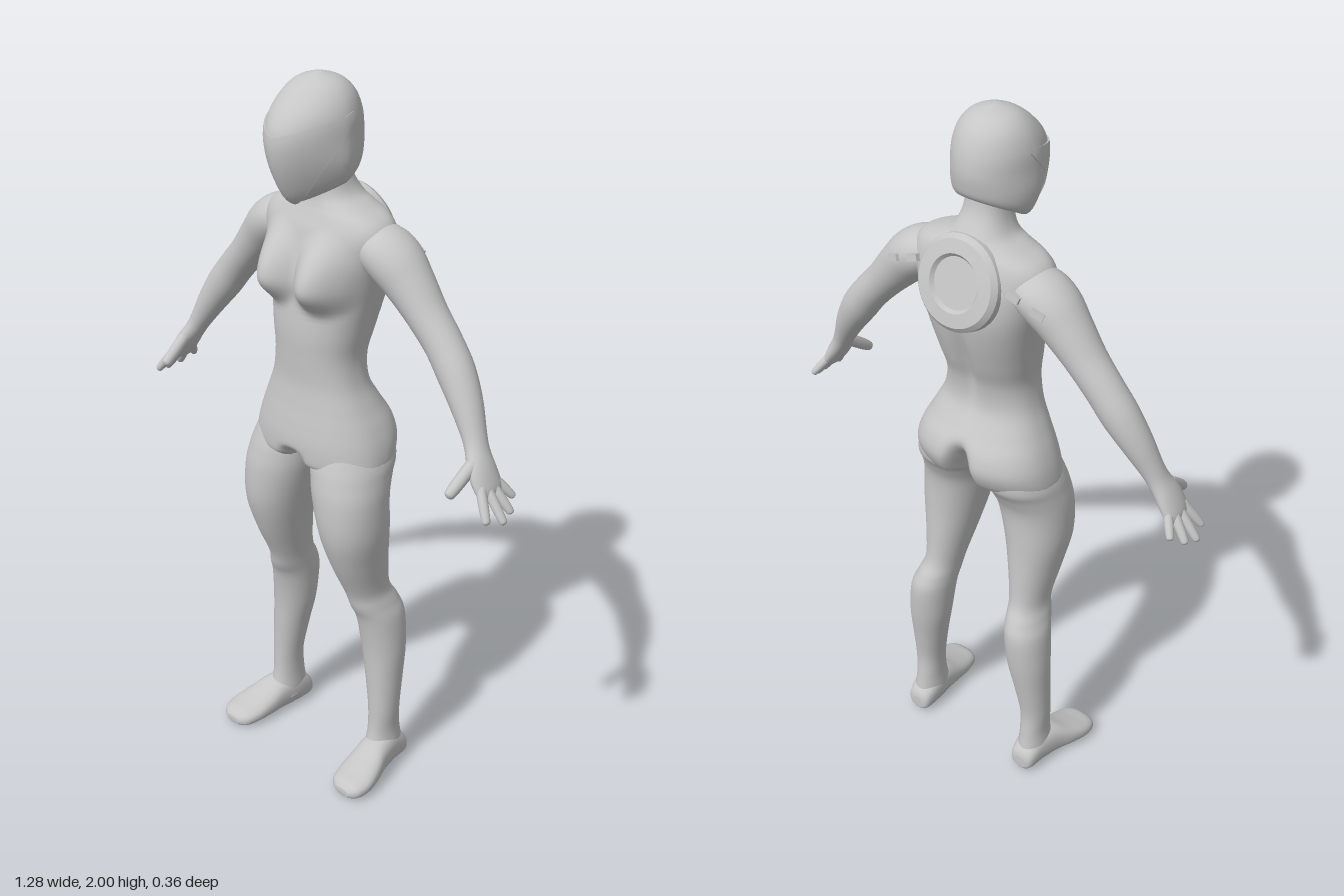
import * as THREE from 'three';
import { toCreasedNormals } from 'three/addons/utils/BufferGeometryUtils.js';

const suit = new THREE.MeshStandardMaterial({ color: 0xc6c6c6 });
suit.name = 'suit grey';

// Catmull-Rom value of a table of rows at fractional index t
function rowAt(rows, t) {
  const last = rows.length - 1;
  const i = Math.min(Math.floor(t), last - 1), f = t - i;
  const [a, b, c, d] = [i - 1, i, i + 1, i + 2].map(k => rows[Math.max(0, Math.min(last, k))]);
  return b.map((v, k) => v + 0.5 * f * (c[k] - a[k]
    + f * (2 * a[k] - 5 * v + 4 * c[k] - d[k] + f * (3 * (v - c[k]) + d[k] - a[k]))));
}

function refine(rows, steps) {
  const n = (rows.length - 1) * steps;
  return Array.from({ length: n + 1 }, (_, i) => rowAt(rows, i / steps));
}

// Skin over rings that run counter-clockwise about the direction of travel
function skin(rings, closed = true) {
  const n = rings[0].length, pos = [], index = [];
  rings.forEach(r => r.forEach(p => pos.push(p.x, p.y, p.z)));
  const across = closed ? n : n - 1;
  for (let i = 0; i < rings.length - 1; i++) {
    for (let j = 0; j < across; j++) {
      const a = i * n + j, b = i * n + (j + 1) % n;
      index.push(a, b, b + n, a, b + n, a + n);
    }
  }
  if (closed) {
    [0, rings.length - 1].forEach((r, end) => {
      const c = rings[r].reduce((s, p) => s.add(p), new THREE.Vector3()).divideScalar(n);
      const ci = pos.length / 3;
      pos.push(c.x, c.y, c.z);
      for (let j = 0; j < n; j++) {
        const a = r * n + j, b = r * n + (j + 1) % n;
        if (end) index.push(ci, a, b); else index.push(ci, b, a);
      }
    });
  }
  const g = new THREE.BufferGeometry();
  g.setAttribute('position', new THREE.Float32BufferAttribute(pos, 3));
  g.setIndex(index);
  g.computeVertexNormals();
  return g;
}

const power = (v, e) => Math.sign(v) * Math.pow(Math.abs(v), 2 / e);
const circle = (n, fn) => Array.from({ length: n }, (_, j) => fn(j / n * Math.PI * 2));

// Stacked level sections, bottom to top: y, centre x, half width, front z, back z
function stack(rows, steps, n, e, shape = p => p) {
  return skin(refine(rows, steps).map(([y, cx, w, zf, zb]) => circle(n, a => shape(new THREE.Vector3(
    cx + w * power(Math.sin(a), e), y, (zf + zb) / 2 + (zf - zb) / 2 * power(Math.cos(a), e))))));
}

// Limb along a path: x, y, z, radius in the plane of the body, radius front to back
function limb(rows, steps, n) {
  const r = refine(rows, steps), pt = k => new THREE.Vector3(...r[k].slice(0, 3));
  return skin(r.map((row, k) => {
    const T = pt(Math.min(k + 1, r.length - 1)).sub(pt(Math.max(k - 1, 0))).normalize();
    const N = new THREE.Vector3(0, 0, 1).cross(T).normalize();
    const B = T.clone().cross(N);
    return circle(n, a => pt(k).addScaledVector(N, row[3] * Math.cos(a)).addScaledVector(B, row[4] * Math.sin(a)));
  }));
}

// Relief of chest, spine and the cleft between the hips
function torsoShape(p) {
  const front = p.z > 0;
  if (front) {
    const dy = (p.y - 1.49) / (p.y > 1.49 ? 0.15 : 0.09), dx = (Math.abs(p.x) - 0.078) / 0.096;
    const d = dx * dx + dy * dy;
    if (d < 1) p.z += 0.064 * (1 - d) ** 2 * Math.min(1, p.z / 0.05);
  } else {
    p.z += 0.016 * Math.exp(-((p.x / 0.022) ** 2) - (((p.y - 1.35) / 0.13) ** 2));
  }
  const open = 1 - THREE.MathUtils.smoothstep(p.y, 0.965, front ? 1.03 : 1.14);
  p.z *= 1 - open * Math.exp(-((p.x / 0.028) ** 2));
  return p;
}

const torsoRows = [
  [0.965, 0, 0.17, 0.085, -0.06], [0.985, 0, 0.203, 0.116, -0.105], [1, 0, 0.212, 0.126, -0.135],
  [1.05, 0, 0.205, 0.127, -0.158], [1.1, 0, 0.188, 0.121, -0.15], [1.15, 0, 0.164, 0.113, -0.12],
  [1.21, 0, 0.138, 0.106, -0.09], [1.28, 0, 0.127, 0.108, -0.092], [1.35, 0, 0.137, 0.11, -0.115],
  [1.43, 0, 0.153, 0.104, -0.138], [1.5, 0, 0.17, 0.098, -0.15], [1.57, 0, 0.19, 0.09, -0.145],
  [1.62, 0, 0.197, 0.078, -0.133], [1.655, 0, 0.175, 0.063, -0.122], [1.68, 0, 0.118, 0.053, -0.112],
  [1.705, 0, 0.077, 0.048, -0.098], [1.76, 0, 0.057, 0.045, -0.07], [1.85, 0, 0.055, 0.05, -0.06]];

const legRows = [
  [0.04, 0.2, 0.045, 0.03, -0.113], [0.08, 0.199, 0.042, 0.014, -0.107], [0.13, 0.198, 0.038, 0.003, -0.1],
  [0.2, 0.198, 0.041, 0, -0.096], [0.3, 0.19, 0.05, 0, -0.11], [0.4, 0.18, 0.06, 0.003, -0.125],
  [0.5, 0.17, 0.06, 0.018, -0.13], [0.55, 0.16, 0.054, 0.038, -0.115], [0.6, 0.151, 0.051, 0.053, -0.09],
  [0.7, 0.147, 0.068, 0.098, -0.08], [0.8, 0.143, 0.088, 0.128, -0.075], [0.9, 0.13, 0.1, 0.132, -0.078],
  [0.96, 0.118, 0.104, 0.124, -0.1], [1, 0.11, 0.104, 0.114, -0.122], [1.05, 0.105, 0.088, 0.095, -0.12],
  [1.1, 0.1, 0.065, 0.065, -0.09]];

// Heel to toe: z, centre x, half width, top y, bottom y
const footRows = [
  [-0.122, 0.197, 0.02, 0.05, 0.012], [-0.11, 0.198, 0.037, 0.075, 0.003], [-0.06, 0.2, 0.045, 0.11, 0],
  [0, 0.209, 0.05, 0.104, 0], [0.05, 0.219, 0.058, 0.08, 0], [0.1, 0.227, 0.061, 0.06, 0],
  [0.14, 0.23, 0.05, 0.047, 0], [0.158, 0.231, 0.024, 0.03, 0.008]];

const armRows = [
  [0.09, 1.6, -0.036, 0.04, 0.055], [0.165, 1.587, -0.036, 0.062, 0.077], [0.215, 1.56, -0.037, 0.067, 0.077],
  [0.265, 1.511, -0.039, 0.06, 0.065], [0.32, 1.45, -0.04, 0.051, 0.055], [0.375, 1.39, -0.04, 0.049, 0.05],
  [0.42, 1.333, -0.036, 0.049, 0.049], [0.465, 1.268, -0.026, 0.041, 0.043], [0.505, 1.2, -0.013, 0.03, 0.034],
  [0.525, 1.165, -0.005, 0.026, 0.035], [0.55, 1.125, 0.004, 0.024, 0.045], [0.575, 1.083, 0.005, 0.018, 0.045],
  [0.585, 1.066, 0.005, 0.007, 0.032]];

// Root, tip and thickness of each digit
const digits = {
  thumb: [[0.537, 1.15, 0.02], [0.53, 1.083, 0.108], 0.017],
  indexFinger: [[0.568, 1.1, 0.032], [0.62, 1.025, 0.064], 0.013],
  middleFinger: [[0.571, 1.095, 0.014], [0.637, 1.014, 0.016], 0.013],
  ringFinger: [[0.571, 1.095, -0.006], [0.626, 1.024, -0.024], 0.013],
  littleFinger: [[0.566, 1.1, -0.024], [0.602, 1.047, -0.06], 0.012]};

// Helmet sections: front y, back y, half width, front z, back z, front taper
const headRows = [
  [1.7, 1.8, 0.05, 0.085, -0.05, 0.5], [1.695, 1.79, 0.085, 0.1, -0.075, 0.5], [1.72, 1.8, 0.104, 0.128, -0.088, 0.45],
  [1.79, 1.82, 0.114, 0.16, -0.095, 0.35], [1.86, 1.86, 0.112, 0.17, -0.1, 0.2], [1.91, 1.91, 0.107, 0.15, -0.093, 0.1],
  [1.955, 1.955, 0.088, 0.108, -0.073, 0.05], [1.985, 1.985, 0.056, 0.066, -0.04, 0], [2, 2, 0.008, 0.025, 0.005, 0]];

function headPoint(a, t) {
  const [yf, yb, w, zf, zb, taper] = rowAt(headRows, t), c = Math.cos(a);
  return new THREE.Vector3(w * Math.sin(a) * (1 - taper * Math.max(0, c)),
    yb + (yf - yb) * (c + 1) / 2, (zf + zb) / 2 + (zf - zb) / 2 * c);
}

// Raised face plate, with a V-shaped brow sweeping back to points at the temples
function visorGeometry() {
  const centre = new THREE.Vector3(0, 1.86, 0.03), rings = [];
  for (let i = -1; i <= 13; i++) {
    const f = Math.max(0, Math.min(12, i)) / 12, scale = i < 0 || i > 12 ? 0.97 : 1.035;
    rings.push(Array.from({ length: 41 }, (_, j) => {
      const s = j / 20 - 1, low = 1 + 3.9 * Math.abs(s) ** 1.6, high = 4.1 + Math.abs(s) * 1.1;
      return headPoint(s * 1.75, low + (high - low) * f).sub(centre).multiplyScalar(scale).add(centre);
    }));
  }
  return skin(rings, false);
}

export function createModel() {
  const model = new THREE.Group(), figure = new THREE.Group();
  model.name = 'model';
  figure.name = 'figure';
  figure.rotation.y = -0.09; // slight turn of the whole stance
  model.add(figure);
  const add = (name, geometry) => {
    const m = new THREE.Mesh(geometry, suit);
    m.name = name;
    figure.add(m);
    return m;
  };

  add('torso', stack(torsoRows, 6, 120, 2.3, torsoShape));
  add('helmet', skin(Array.from({ length: 49 }, (_, i) => circle(48, a => headPoint(a, i / 6)))));
  add('visor', toCreasedNormals(visorGeometry(), 0.7));

  // Back disc: raised ring round a recessed plate
  const profile = [[0.124, -0.03], [0.122, 0], [0.11, 0.013], [0.074, 0.016], [0.066, 0.006], [0, 0.006]];
  const disc = add('backDisc', toCreasedNormals(
    new THREE.LatheGeometry(profile.map(p => new THREE.Vector2(...p)), 40), 0.5));
  disc.position.set(0, 1.592, -0.136);
  disc.rotation.x = -1.3;

  for (const [side, s] of [['left', 1], ['right', -1]]) {
    add(side + 'Leg', stack(legRows.map(([y, x, ...r]) => [y, x * s, ...r]), 5, 36, 2.1));
    add(side + 'Foot', skin(refine(footRows, 5).map(([z, x, w, top, bottom]) => circle(32, a => new THREE.Vector3(
      s * x + w * power(Math.cos(a), 2.4), (top + bottom) / 2 + (top - bottom) / 2 * power(Math.sin(a), 2.4), z)))));
    add(side + 'Arm', limb(armRows.map(([x, ...r]) => [x * s, ...r]), 5, 32));

    for (const [name, [a, b, r]] of Object.entries(digits)) {
      const rows = [[0, 1], [0.5, 1], [0.88, 0.85], [0.97, 0.6], [1, 0.15]].map(([f, k]) =>
        [...a.map((v, i) => (v + (b[i] - v) * f) * (i ? 1 : s)), r * k, r * k]);
      add(side + name[0].toUpperCase() + name.slice(1), limb(rows, 3, 12));
    }

    // Small plates behind the shoulder
    for (const [x, y, z, turn] of [[0.155, 1.6, -0.116, 0.1], [0.222, 1.575, -0.11, 0.3]]) {
      const plate = add(side + 'ShoulderPlate', new THREE.BoxGeometry(0.036, 0.018, 0.016));
      plate.position.set(s * x, y, z);
      plate.rotation.set(0.15, -s * turn, -s * 0.35);
    }
  }
  return model;
}
